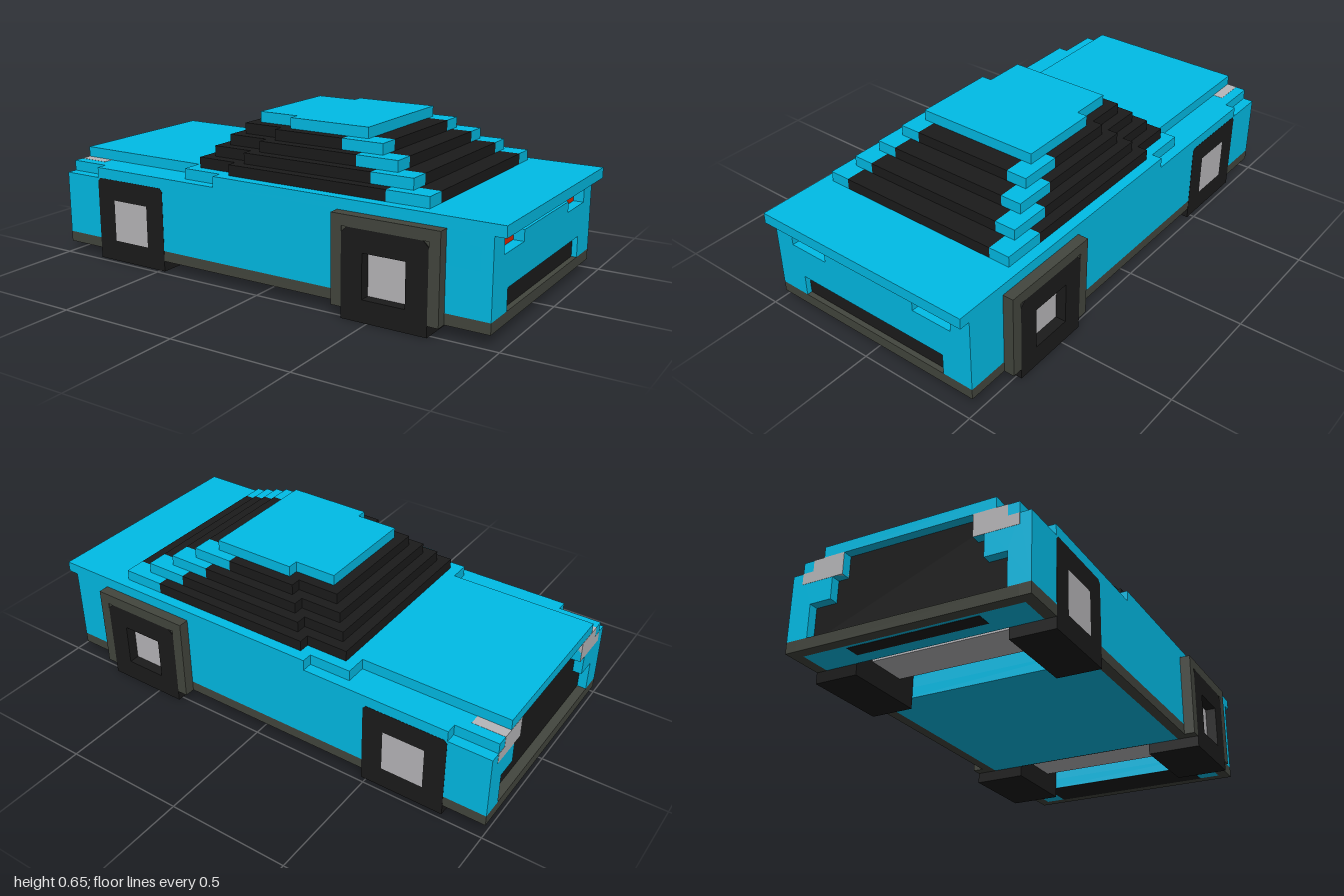
import * as THREE from 'three';

const U = 1 / 23; // one block
const material = (name, color) => {
  const m = new THREE.MeshStandardMaterial({ color });
  m.name = name;
  return m;
};

export function createModel() {
  const blue = material('bodyBlue', 0x00bce6);
  const black = material('glassAndTyreBlack', 0x1b1b1b);
  const trim = material('trimGrey', 0x43463e);
  const silver = material('lightGrey', 0xb8b7ba);
  const red = material('tailRed', 0xde2800);

  const car = new THREE.Group();
  car.name = 'blockCar';
  const add = (name, geo, mat) => {
    const mesh = new THREE.Mesh(geo, mat);
    mesh.name = name;
    car.add(mesh);
  };
  // box from block coordinates: x runs nose to tail, z is centred
  const box = (name, mat, x0, x1, y0, y1, z0, z1) => {
    const g = new THREE.BoxGeometry((x1 - x0) * U, (y1 - y0) * U, (z1 - z0) * U);
    g.translate(((x0 + x1) / 2 - 23) * U, ((y0 + y1) / 2) * U, ((z0 + z1) / 2) * U);
    add(name, g, mat);
  };
  const wide = (name, mat, x0, x1, y0, y1, h) => box(name, mat, x0, x1, y0, y1, -h, h);
  const pair = (name, mat, x0, x1, y0, y1, z0, z1) => {
    box(name + 'Left', mat, x0, x1, y0, y1, z0, z1);
    box(name + 'Right', mat, x0, x1, y0, y1, -z1, -z0);
  };
  const vectors = (pts) => pts.map(([a, b]) => new THREE.Vector2(a, b));
  const flip = (pts) => pts.map(([a, b]) => [-a, b]);
  // crosswise panel: outline in (z, y), one block thick along x
  const panel = (name, pts, x0) => {
    const g = new THREE.ExtrudeGeometry(new THREE.Shape(vectors(pts)), { depth: 1, bevelEnabled: false });
    g.rotateY(Math.PI / 2).translate(x0 - 23, 0, 0).scale(U, U, U);
    add(name, g, blue);
  };

  // Main body and floor, with open wheel wells underneath
  for (const [a, b] of [[1, 4], [12, 32], [40, 44]]) {
    wide('lowerBody', blue, a, b, 2, 6, 11);
    wide('floor', blue, a, b, 1, 2, 10);
  }
  wide('upperBody', blue, 1, 44, 6, 8, 11);
  wide('frontFenderTop', blue, 1, 4, 8, 9, 10);
  wide('shoulder', blue, 4, 43, 8, 9, 11);
  wide('hood', blue, 0, 14, 9, 10, 8);
  wide('cowl', blue, 14, 18, 9, 10, 10);
  wide('deck', blue, 18, 46, 9, 10, 11);

  // Nose: corner pieces, recessed grille and headlights
  const nose = [[9, 2], [11, 2], [11, 8], [10, 8], [10, 9], [6, 9], [6, 7], [7, 7], [7, 5], [9, 5]];
  panel('noseLeft', nose, 0);
  panel('noseRight', flip(nose), 0);
  wide('grille', black, 0.85, 1.05, 2, 9, 9);
  wide('grilleBase', black, 1.3, 2.7, 0.97, 1.1, 6);
  pair('headlight', silver, -0.02, 3, 7, 9.02, 6, 9);
  pair('headlightCorner', silver, -0.02, 0.1, 7, 8, 9, 10);

  // Tail: panel with a slot below and a recess for the lights
  const tail = [[8, 4], [8, 2], [11, 2], [11, 9], [9, 9], [9, 7], [5, 7], [5, 8]];
  panel('tailPanel', [...tail, ...flip(tail).reverse()], 44);
  pair('tailFlank', blue, 43, 44, 8, 9, 9, 11);
  pair('tailLight', red, 43, 44.05, 7, 9, 5, 9);
  wide('tailLightStrip', red, 42.9, 43.05, 8, 9, 5);
  wide('rearSlot', black, 43.9, 44.5, 2, 4, 8);
  wide('rearSlotBase', black, 40, 44, 0.97, 1.1, 8);

  // Skirt ring
  pair('sideSkirt', trim, 0, 45, 1, 2, 10, 11);
  wide('frontSkirt', trim, 0, 1, 1, 2, 10);
  wide('rearSkirt', trim, 44, 45, 1, 2, 10);

  // Wheels: hollow square tyres with hubs and an axle between them
  const wheels = [['front', 4, 11.02, 11.02, 0.3], ['rear', 32, 12, 11, 0.5]];
  for (const [name, x, face, hub, c] of wheels) {
    const tyre = new THREE.Shape(vectors([[0, 0], [8, 0], [8, 8 - c], [8 - c, 8], [c, 8], [0, 8 - c]]));
    tyre.holes.push(new THREE.Path(vectors([[2, 2], [2, 6], [6, 6], [6, 2]])));
    for (const side of [1, -1]) {
      const g = new THREE.ExtrudeGeometry(tyre, { depth: face - 7, bevelEnabled: false });
      g.translate(x - 23, 0, side > 0 ? 7 : -face).scale(U, U, U);
      add(name + (side > 0 ? 'TyreLeft' : 'TyreRight'), g, black);
    }
    wide(name + 'HubsAndAxle', silver, x + 2, x + 6, 2, 6, hub);
    wide(name + 'WellRoof', black, x, x + 8, 5.9, 6.1, 10);
  }
  wide('rearWellWall', black, 31.9, 32.05, 1, 6, 7);

  // Rear wheel flares
  pair('flareFront', trim, 31, 32, 1, 9, 10.9, 12);
  pair('flareBack', trim, 40, 41, 1, 9, 10.9, 12);
  pair('flareTop', trim, 32, 40, 8, 9, 10.9, 12);
  pair('flareCorner', trim, 32, 40, 7.3, 8, 10.9, 11.9);

  // Stepped cabin: each row one block shorter and narrower
  for (let i = 0; i < 4; i++) {
    const y = 10 + i, h = 10 - i, side = 35 - 2 * i, end = 39 - 2 * i, rear = 8 - i;
    wide('windscreen', black, 15 + i, 19 + i, y, y + 1, h - 1);
    wide('sideGlass', black, 19 + i, side, y, y + 1, h);
    wide('rearGlass', black, side, end, y, y + 1, rear);
    pair('rearPillar', blue, side, end, y, y + 1, rear, h);
  }
  wide('roofFront', blue, 19, 23, 14, 15, 5);
  wide('roof', blue, 23, 31, 14, 15, 6);

  return car;
}
